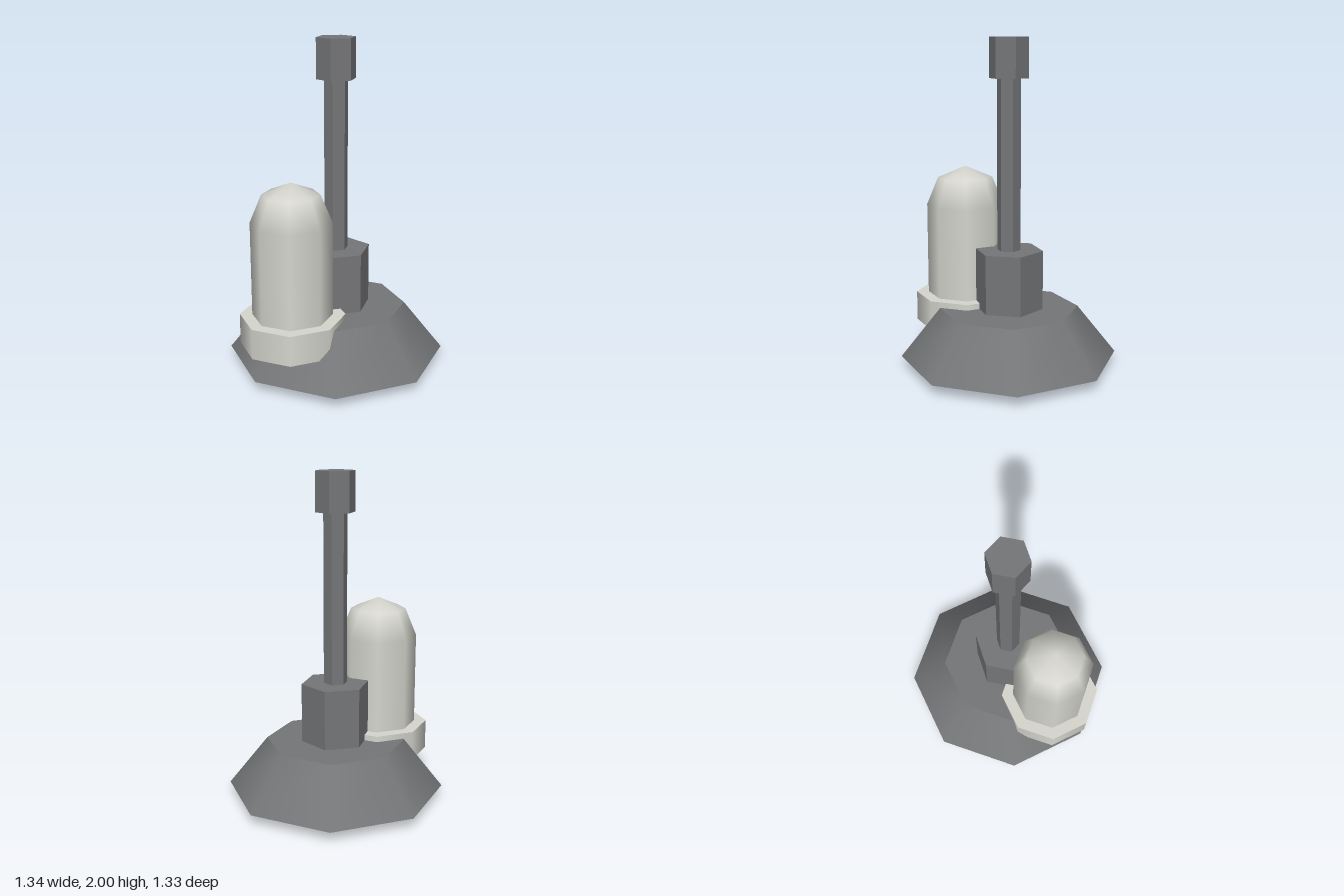
import * as THREE from 'three';

export function createModel() {
  const model = new THREE.Group();
  const darkMetal = new THREE.MeshStandardMaterial({ color: 0x757678 });
  darkMetal.name = 'dark grey';
  const paleShell = new THREE.MeshStandardMaterial({ color: 0xd6d6cf });
  paleShell.name = 'pale grey';

  function add(name, geometry, material, x, y) {
    const mesh = new THREE.Mesh(geometry, material);
    mesh.name = name;
    mesh.position.set(x, y, 0);
    model.add(mesh);
  }

  // Prism or frustum standing between two heights
  function prism(name, material, x, rTop, rBottom, y0, y1, sides, flat) {
    let geometry = new THREE.CylinderGeometry(rTop, rBottom, y1 - y0, sides);
    if (flat) {
      geometry = geometry.toNonIndexed();
      geometry.computeVertexNormals();
    }
    add(name, geometry, material, x, (y0 + y1) / 2);
  }

  const axisX = 0.006;
  const tankX = -0.358;

  // Flared base and faceted central mast
  prism('flaredBase', darkMetal, axisX, 0.425, 0.665, 0.063, 0.365, 8, false);
  prism('hexHub', darkMetal, axisX, 0.21, 0.21, 0, 0.73, 6, true);
  prism('mastPole', darkMetal, axisX, 0.072, 0.072, 0.73, 1.765, 6, true);
  prism('mastCap', darkMetal, axisX, 0.119, 0.119, 1.762, 2, 6, true);

  // Domed tank on its collar, set into one side of the base
  prism('tankCollar', paleShell, tankX, 0.315, 0.315, 0.215, 0.4, 8, false);
  prism('tankBody', paleShell, tankX, 0.24, 0.24, 0.3, 0.97, 8, false);
  add('tankDome', new THREE.SphereGeometry(0.24, 8, 2, 0, Math.PI * 2, 0, Math.PI / 2), paleShell, tankX, 0.97);

  return model;
}
